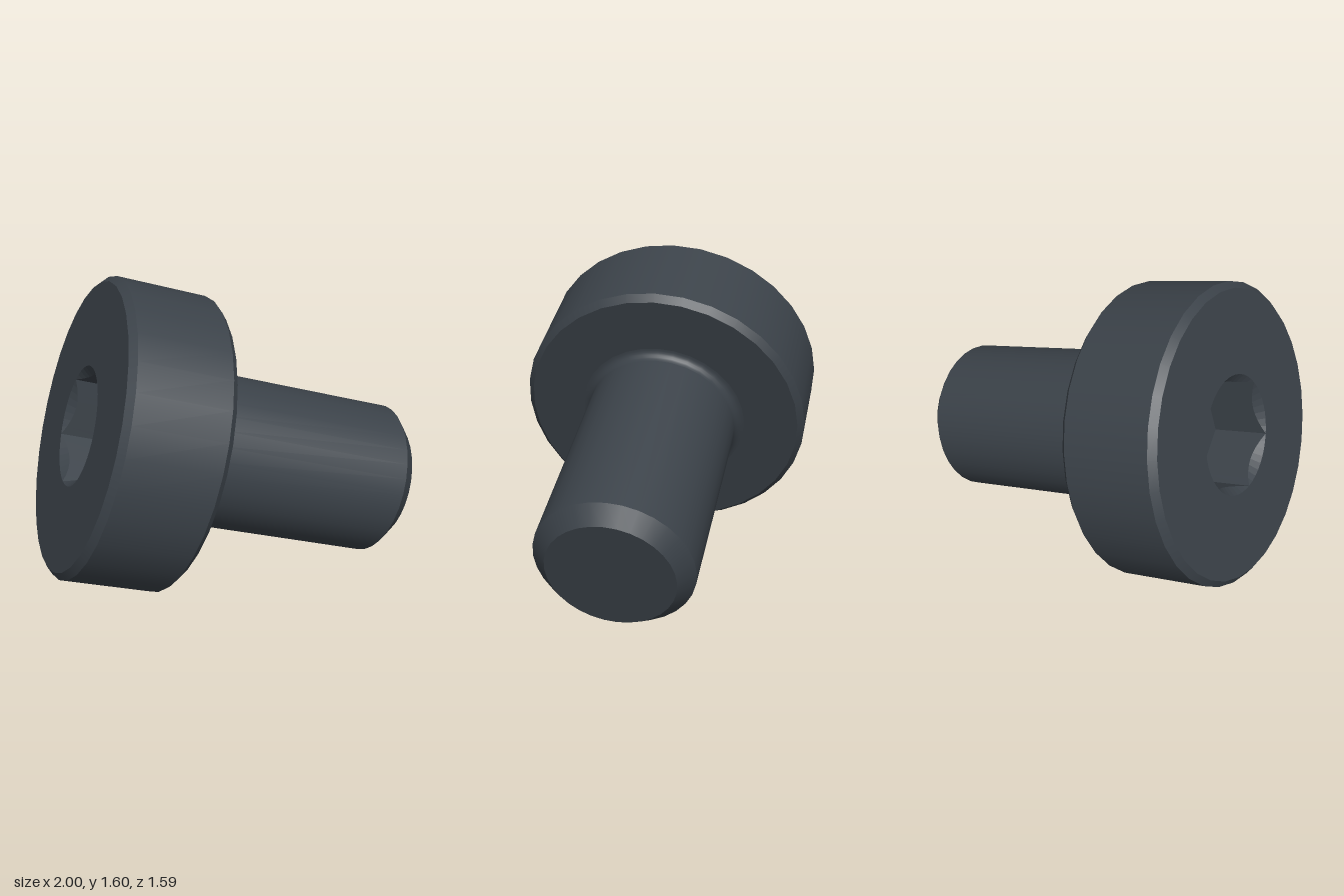
import * as THREE from 'three';

const SEG = 32;
const HEAD_R = 0.766, HEAD_HALF = 0.268, BEVEL = 0.033;
const SHAFT_R = 0.4, SHAFT_END = 1.473, TIP = 0.078, FILLET = 0.045;
const HOLE_R = 0.305, HOLE_DEPTH = 0.3;

export function createModel() {
  const steel = new THREE.MeshStandardMaterial({ color: 0x3b4249 });
  steel.name = 'dark steel';

  // The bolt is built along +y, then tilted as a whole
  const bolt = new THREE.Group();
  bolt.name = 'bolt';
  const add = (name, geometry) => {
    const mesh = new THREE.Mesh(geometry, steel);
    mesh.name = name;
    bolt.add(mesh);
  };
  const turned = (name, ...points) =>
    add(name, new THREE.LatheGeometry(points.map(([r, y]) => new THREE.Vector2(r, y)), SEG));
  const ringPoints = (r, n) => Array.from({ length: n }, (_, i) => {
    const a = (i / n) * Math.PI * 2;
    return new THREE.Vector2(r * Math.sin(a), r * Math.cos(a));
  });

  // Head: outer face with a round opening, two bevels, side and underside
  const capR = HEAD_R - BEVEL, sideY = HEAD_HALF - BEVEL;
  const face = new THREE.Shape(ringPoints(capR, SEG));
  face.holes.push(new THREE.Path(ringPoints(HOLE_R, 48)));
  add('headFace', new THREE.ShapeGeometry(face).rotateX(Math.PI / 2).translate(0, -HEAD_HALF, 0));
  turned('headOuterBevel', [capR, -HEAD_HALF], [HEAD_R, -sideY]);
  turned('headSide', [HEAD_R, -sideY], [HEAD_R, sideY]);
  turned('headInnerBevel', [HEAD_R, sideY], [capR, HEAD_HALF]);
  turned('headUnderside', [capR, HEAD_HALF], [SHAFT_R + FILLET, HEAD_HALF]);

  // Shaft: root fillet, cylinder, bevelled tip
  const arc = Array.from({ length: 7 }, (_, i) => {
    const t = (i / 6) * Math.PI / 2;
    return [SHAFT_R + FILLET * (1 - Math.sin(t)), HEAD_HALF + FILLET * (1 - Math.cos(t))];
  });
  turned('shaftFillet', ...arc);
  turned('shaft', [SHAFT_R, HEAD_HALF + FILLET], [SHAFT_R, SHAFT_END - TIP]);
  turned('shaftTipBevel', [SHAFT_R, SHAFT_END - TIP], [SHAFT_R - TIP, SHAFT_END]);
  turned('shaftTip', [SHAFT_R - TIP, SHAFT_END], [0, SHAFT_END]);

  // Hex socket: a conical lead-in cut by six flat walls
  const flat = HOLE_R * Math.cos(Math.PI / 6);
  const floorY = HOLE_DEPTH - HEAD_HALF;
  const lead = [], walls = [];
  const at = (phi, r, y) => [r * Math.sin(phi), y, r * Math.cos(phi)];
  const quad = (out, a1, a2, b1, b2) => out.push(...a1, ...b1, ...a2, ...a2, ...b1, ...b2);
  for (let i = 0; i < 48; i++) {
    const mid = (Math.floor(i / 8) + 0.5) * Math.PI / 3;
    const [rim, edge, base] = [[], [], []];
    for (const j of [i, i + 1]) {
      const phi = (j / 48) * Math.PI * 2;
      const r = flat / Math.cos(phi - mid);
      rim.push(at(phi, HOLE_R, -HEAD_HALF));
      edge.push(at(phi, r, -HEAD_HALF + HOLE_R - r));
      base.push(at(phi, r, floorY));
    }
    quad(lead, ...rim, ...edge);
    quad(walls, ...edge, ...base);
  }
  const facets = (positions) => {
    const g = new THREE.BufferGeometry();
    g.setAttribute('position', new THREE.Float32BufferAttribute(positions, 3));
    g.computeVertexNormals();
    return g;
  };
  add('socketLeadIn', facets(lead));
  add('socketWalls', facets(walls));
  add('socketFloor', new THREE.CircleGeometry(HOLE_R, 6, Math.PI / 2)
    .rotateX(Math.PI / 2).translate(0, floorY, 0));

  // Tilt: the shaft points to +x, slightly down and forward
  const axis = new THREE.Vector3(0.934, -0.297, 0.1986).normalize();
  const up = new THREE.Vector3(0, 1, 0).addScaledVector(axis, -axis.y).normalize();
  const side = new THREE.Vector3().crossVectors(axis, up);
  bolt.quaternion.setFromRotationMatrix(new THREE.Matrix4().makeBasis(side, axis, up));
  bolt.position.set(-0.49, 0.8, 0);

  const model = new THREE.Group();
  model.name = 'socketBolt';
  model.add(bolt);
  return model;
}
